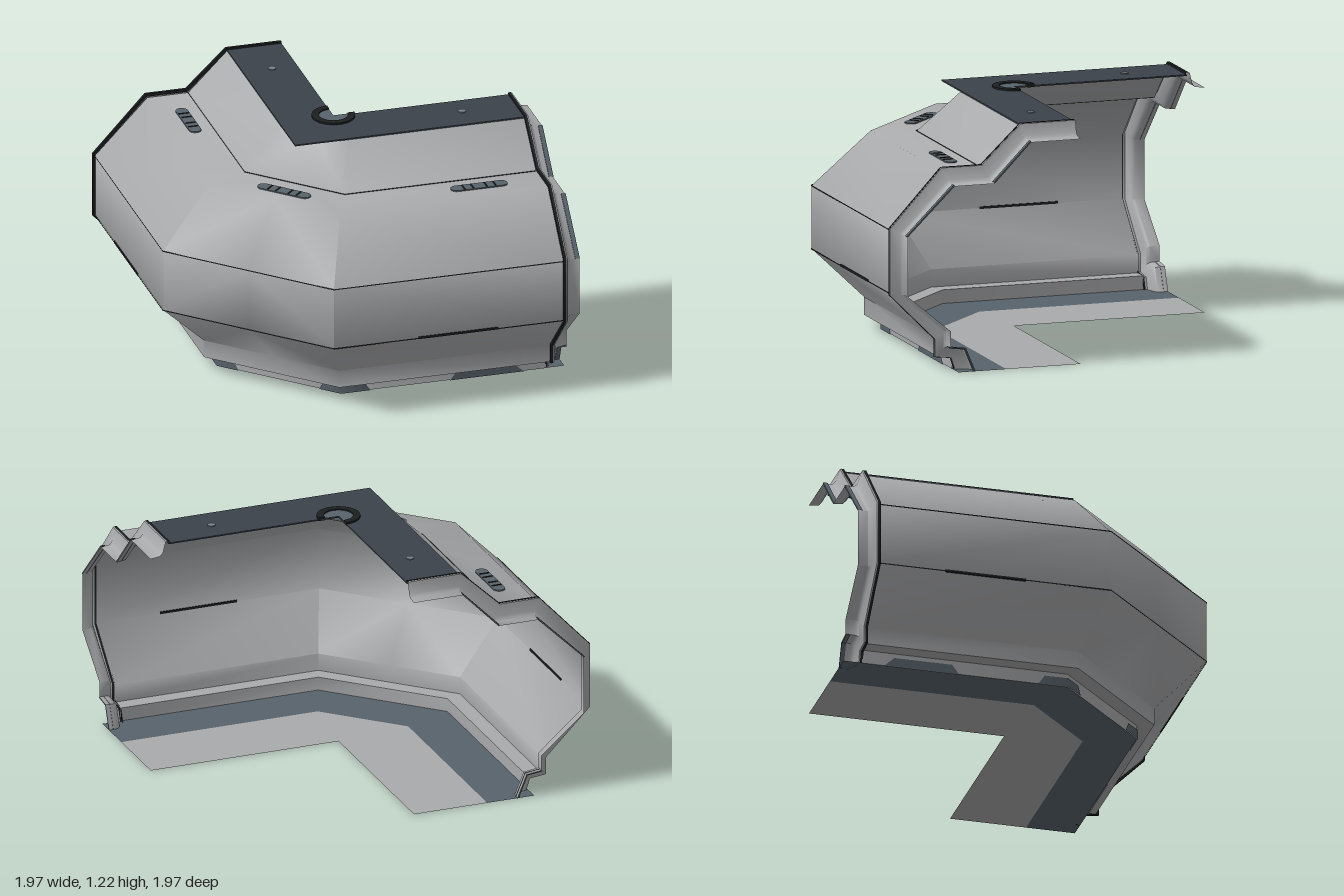
import * as THREE from 'three';
import { toCreasedNormals } from 'three/addons/utils/BufferGeometryUtils.js';

const mat = (name, color) => {
  const m = new THREE.MeshStandardMaterial({ color, side: THREE.DoubleSide });
  m.name = name;
  return m;
};

// cross-sections as [outward distance, height]
const WALL = [[.28, 1.2], [.48, 1.0], [.69, 1.0], [.96, .72], [.96, .4], [.72, .16], [.72, .07], [.64, .07], [.64, 0]];
const RIM = [[0, 1.215], [.285, 1.215], [.49, 1.02], [.7, 1.02], [.97, .73], [.97, .395], [.735, .16], [.735, .07], [.65, .06], [.63, 0]];
const MOUTH = [[0, 1.135], [.26, 1.135], [.45, .94], [.66, .94], [.905, .7], [.905, .4], [.68, .21], [.68, .13], [.6, .12], [.55, 0]];

// skin over a grid of stations, each a list of [x, y, z]
function skin(stations) {
  const n = stations[0].length, index = [];
  for (let i = 0; i < stations.length - 1; i++)
    for (let j = 0; j < n - 1; j++) {
      const a = i * n + j, b = a + n;
      index.push(a, b, a + 1, b, b + 1, a + 1);
    }
  const g = new THREE.BufferGeometry();
  g.setAttribute('position', new THREE.Float32BufferAttribute(stations.flat(2), 3));
  g.setIndex(index);
  return toCreasedNormals(g, 0.9);
}

// where the straight arm bends into the diagonal, and the middle of the diagonal
const bend = d => -(d - .28) * Math.tan(Math.PI / 8);
const armPoint = (s, [d, y]) => [s, y, d];
const diagPoint = (f, [d, y]) => {
  const s = bend(d), m = (d - s) / 2;
  return [s + (-m - s) * f, y, d + (m - d) * f];
};

// sweep a profile from the arm's end to the middle of the diagonal
const sweep = (profile, end) => skin([
  profile.map(p => armPoint(end, p)),
  profile.map(p => diagPoint(0, p)),
  profile.map(p => diagPoint(1, p))]);

// loft between rim (t = 0) and mouth (t = 1) at given positions along the arm
const loft = (sections, from = 0, to = RIM.length) => skin(sections.map(([s, t]) =>
  RIM.map(([d, y], i) => [s, y + (MOUTH[i][1] - y) * t, d + (MOUTH[i][0] - d) * t]).slice(from, to)));

// flat plan shape from [x, z] corners
function plate(corners, y, depth) {
  const shape = new THREE.Shape(corners.map(([x, z]) => new THREE.Vector2(x, -z)));
  const g = depth ? new THREE.ExtrudeGeometry(shape, { depth, bevelEnabled: false }) : new THREE.ShapeGeometry(shape);
  return g.rotateX(-Math.PI / 2).translate(0, y, 0);
}

export function createModel() {
  const shell = mat('light grey panel', 0xa9aaac);
  const roofMat = mat('dark slate', 0x3b424a);
  const trim = mat('blue grey trim', 0x58636b);
  const black = mat('black seal', 0x1d1f21);
  const pale = mat('stud grey', 0x7b8288);

  const add = (parent, name, geometry, material) => {
    const m = new THREE.Mesh(geometry, material);
    m.name = name;
    parent.add(m);
    return m;
  };

  // lamp strip lying on the flat ledge
  function lamp(x, z, angle) {
    const g = new THREE.Group();
    g.name = 'lampStrip';
    const s = new THREE.Shape();
    s.absarc(.115, 0, .031, -Math.PI / 2, Math.PI / 2);
    s.absarc(-.115, 0, .031, Math.PI / 2, Math.PI * 1.5);
    add(g, 'lampLens', new THREE.ExtrudeGeometry(s, { depth: .006, bevelEnabled: false, curveSegments: 8 }).rotateX(-Math.PI / 2), trim);
    for (const dx of [-.08, -.035, .035, .08])
      add(g, 'lampSlot', new THREE.BoxGeometry(.008, .004, .05).translate(dx, .007, 0), black);
    g.position.set(x, 1.0, z);
    g.rotation.y = angle;
    return g;
  }

  function half(name) {
    const g = new THREE.Group();
    g.name = name;
    add(g, 'wall', sweep(WALL, .905), shell);

    // thin joints along the folds
    for (const [d, y] of [[.482, 1.001], [.963, .72], [.963, .4]])
      add(g, 'panelJoint', sweep([[d, y + .003], [d, y - .003]], .9), black);
    add(g, 'sideSlot', new THREE.BoxGeometry(.41, .012, .008).translate(.36, .402, .96), black);

    // end collar with seal and coupling pads
    add(g, 'collarSeal', loft([[.914, -.03], [.9, -.03], [.9, .16]]), black);
    add(g, 'collar', loft([[1, 1], [.95, .92], [.935, .72], [.92, 0], [.91, 0]]), shell);
    for (const [from, to] of [[1, 3], [3, 5], [7, 10]])
      add(g, 'couplingPad', loft([[1, 1], [1, .9], [.977, .9], [.977, 1]], from, to), trim);

    // skirt pads: one on the arm, one wrapped around the bend
    const lo = [.646, 0], hi = [.646, .045];
    add(g, 'skirtPad', skin([
      [armPoint(.74, hi), armPoint(.79, lo)],
      [armPoint(.445, hi), armPoint(.41, lo)]]), trim);
    add(g, 'bendPad', skin([
      [armPoint(-.03, hi), armPoint(0, lo)],
      [diagPoint(0, hi), diagPoint(0, lo)],
      [diagPoint(.28, hi), diagPoint(.35, lo)]]), trim);

    // floor: dark border beside the wall, light walkway inside
    add(g, 'floorBorder', sweep([[.39, .001], [.64, .001]], 1), trim);
    const b = diagPoint(0, [.39, 0]), m = diagPoint(1, [.39, 0]);
    add(g, 'walkway', plate([[0, 0], [m[0], m[2]], [b[0], b[2]], [1, .39], [1, 0]], .001), shell);

    // roof half, meeting its mirror image on the diagonal
    add(g, 'roof', plate([[0, 0], [-.28, .28], [.905, .28], [.905, 0]], 1.2, .007), roofMat);
    add(g, 'roofStud', new THREE.CylinderGeometry(.02, .02, .006, 16).translate(.625, 1.209, .13), pale);

    g.add(lamp(.58, .575, 0));
    return g;
  }

  const model = new THREE.Group();
  model.name = 'cornerCorridor';
  const body = new THREE.Group();
  body.name = 'body';
  body.position.set(-.02, 0, .01);
  model.add(body);

  body.add(half('frontArm'));
  const other = half('rearArm');
  other.scale.x = -1;
  other.rotation.y = -Math.PI / 2;
  body.add(other);

  body.add(lamp(-.36, .36, -Math.PI / 4));

  // three-quarter ring around the inner corner of the roof
  const ring = new THREE.Shape();
  ring.absarc(0, 0, .108, Math.PI / 2, Math.PI * 2, false);
  ring.absarc(0, 0, .072, Math.PI * 2, Math.PI / 2, true);
  add(body, 'cornerRing', new THREE.ExtrudeGeometry(ring, { depth: .018, bevelEnabled: false, curveSegments: 24 })
    .rotateX(-Math.PI / 2).translate(0, 1.198, 0), black);
  add(body, 'cornerDisc', new THREE.CircleGeometry(.072, 24, Math.PI / 2, Math.PI * 1.5)
    .rotateX(-Math.PI / 2).translate(0, 1.21, 0), trim);

  return model;
}
